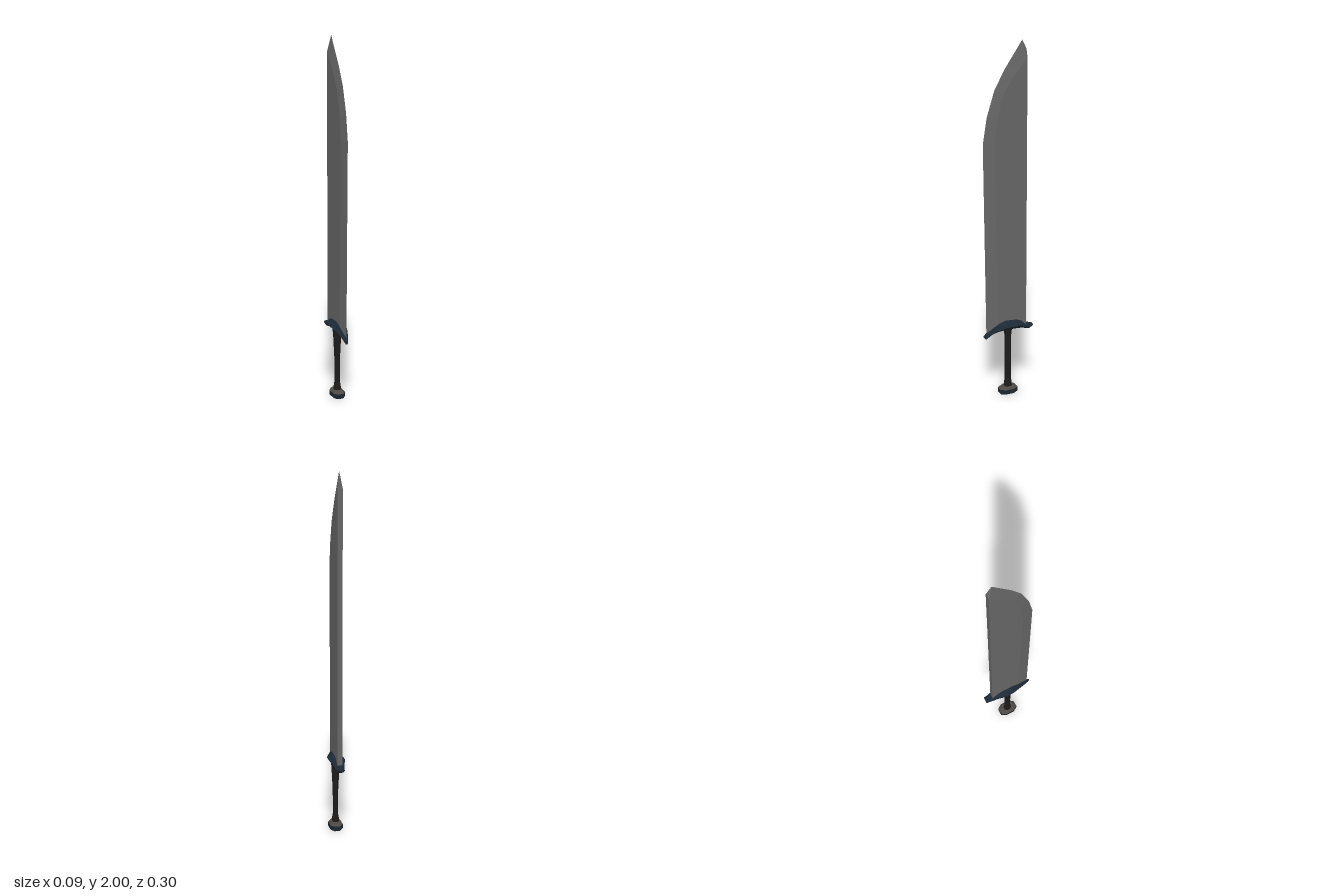
import * as THREE from 'three';

// Skin a list of equal-length rings (counter-clockwise seen from the far end), closing both ends.
function loft(name, color, rings, endPoint) {
  const pos = [];
  const tri = (a, b, c) => pos.push(...a, ...b, ...c);
  const n = rings[0].length;
  const centre = (r) => [0, 1, 2].map((k) => r.reduce((s, p) => s + p[k], 0) / n);
  const first = rings[0], last = rings[rings.length - 1];
  const c0 = centre(first), c1 = endPoint || centre(last);
  for (let i = 0; i < n; i++) {
    const j = (i + 1) % n;
    for (let k = 0; k < rings.length - 1; k++) {
      const a = rings[k], b = rings[k + 1];
      tri(a[i], a[j], b[j]);
      tri(a[i], b[j], b[i]);
    }
    tri(first[j], first[i], c0);
    tri(last[i], last[j], c1);
  }
  const geo = new THREE.BufferGeometry();
  geo.setAttribute('position', new THREE.Float32BufferAttribute(pos, 3));
  geo.computeVertexNormals();
  const mesh = new THREE.Mesh(geo, new THREE.MeshStandardMaterial({ color, flatShading: true }));
  mesh.name = name;
  return mesh;
}

// Horizontal octagon; k sets how far the corners are cut.
function octagon(y, rx, rz, k) {
  return [[k, 1], [1, k], [1, -k], [k, -1], [-k, -1], [-1, -k], [-1, k], [-k, 1]]
    .map(([x, z]) => [x * rx, y, z * rz]);
}

export function createModel() {
  const group = new THREE.Group();

  // Blade: sharp edge at the front, bevel line, flat sides and a flat spine
  const t = 0.014, spine = -0.106;
  const bladeStations = [ // edge z, edge y, bevel z, bevel y
    [0.13, 0.37, 0.066, 0.40],
    [0.143, 1.464, 0.082, 1.464],
    [0.12, 1.607, 0.066, 1.6],
    [0.077, 1.745, 0.03, 1.725],
    [0.02, 1.85, -0.02, 1.805],
    [-0.082, 2.0, spine, 1.91],
  ];
  group.add(loft('blade', 0x666666, bladeStations.map(([ez, ey, bz, by]) => [
    [0, ey, ez], [t, by, bz], [t, by, spine], [-t, by, spine], [-t, by, bz],
  ]), [0, 1.952, spine]));

  // Guard: arched bar, thick in the middle, pointed in front and blunt behind
  const guardStations = [ // z, top, middle, bottom, half width
    [-0.148, 0.402, 0.396, 0.39, 0.02],
    [-0.13, 0.406, 0.391, 0.377, 0.021],
    [-0.1, 0.413, 0.398, 0.384, 0.027],
    [-0.07, 0.437, 0.413, 0.392, 0.036],
    [-0.04, 0.446, 0.418, 0.396, 0.045],
    [0.02, 0.449, 0.418, 0.396, 0.045],
    [0.065, 0.434, 0.404, 0.39, 0.033],
    [0.1, 0.408, 0.387, 0.376, 0.022],
    [0.134, 0.382, 0.366, 0.35, 0.009],
    [0.148, 0.372, 0.37, 0.366, 0.002],
  ];
  group.add(loft('guard', 0x1c2a36, guardStations.map(([z, top, mid, bot, w]) => [
    [w, mid, z], [w * 0.45, top, z], [-w * 0.45, top, z],
    [-w, mid, z], [-w * 0.5, bot, z], [w * 0.5, bot, z],
  ])));

  // Grip: slim octagonal handle flaring at both ends
  group.add(loft('grip', 0x1d1c1b, [
    [0.03, 0.02, 0.024], [0.06, 0.018, 0.02], [0.09, 0.013, 0.017], [0.23, 0.014, 0.017],
    [0.36, 0.021, 0.017], [0.385, 0.023, 0.02], [0.405, 0.024, 0.03],
  ].map(([y, rx, rz]) => octagon(y, rx, rz, 0.45))));

  // Pommel: chamfered block with a lighter top plate
  group.add(loft('pommel', 0x1f272d, [
    [0, 0.03, 0.048], [0.006, 0.036, 0.054], [0.03, 0.036, 0.054],
  ].map(([y, rx, rz]) => octagon(y, rx, rz, 0.5))));
  group.add(loft('pommelCap', 0x4c4946, [
    [0.03, 0.036, 0.054], [0.043, 0.025, 0.04],
  ].map(([y, rx, rz]) => octagon(y, rx, rz, 0.5))));

  return group;
}
